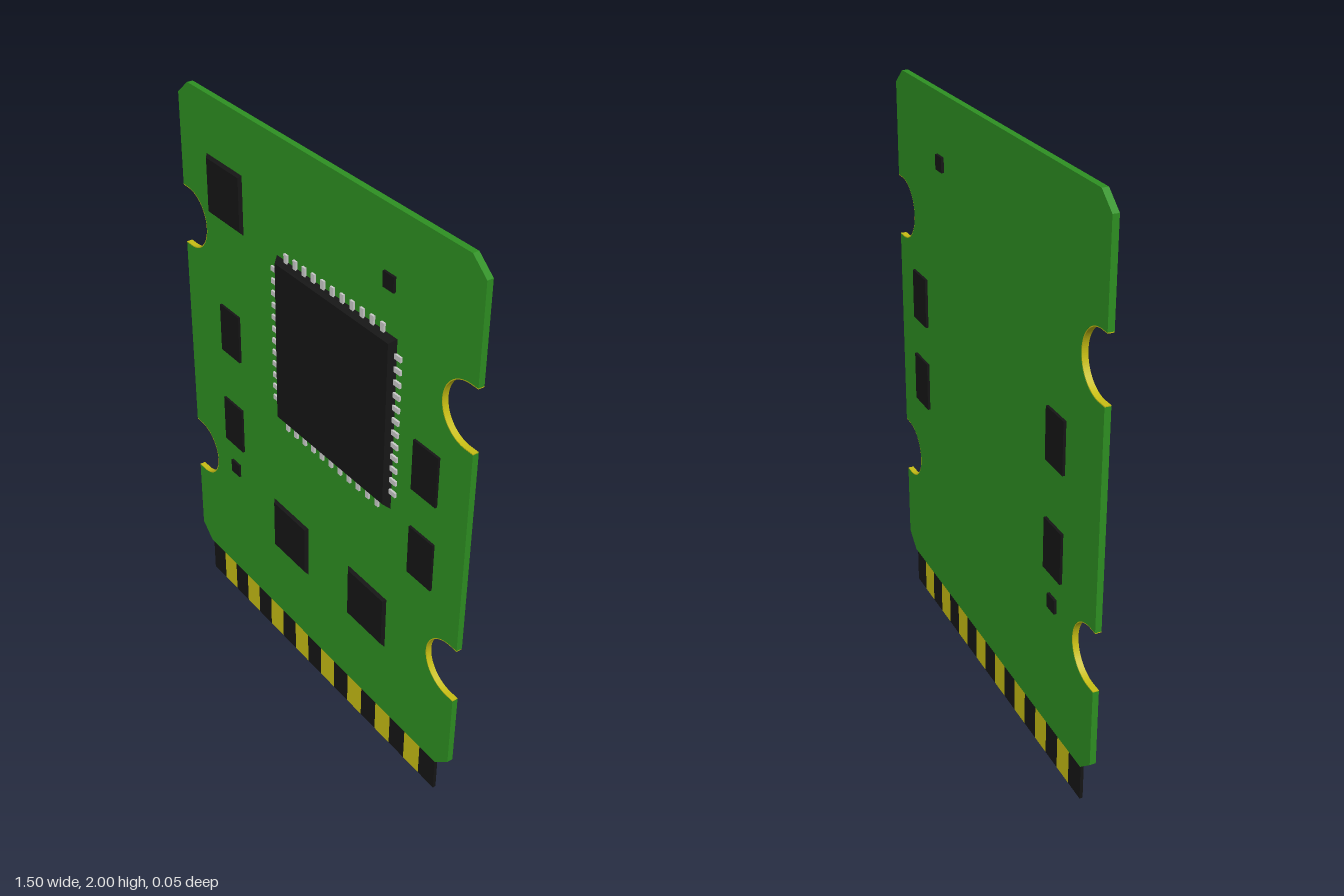
import * as THREE from 'three';

const mat = (color) => new THREE.MeshStandardMaterial({ color, flatShading: true });
const BACK = -0.016, FRONT = 0.005; // faces of the board
const NOTCH_R = 0.108, NOTCH_X = 0.718, NOTCH_Y = [0.575, 1.522];

export function createModel() {
  const model = new THREE.Group();
  const green = mat(0x2e9122), black = mat(0x161616), gold = mat(0xc8be14), pinGrey = mat(0xcccccc);

  const add = (name, geometry, material, parent = model) => {
    const mesh = new THREE.Mesh(geometry, material);
    mesh.name = name;
    parent.add(mesh);
    return mesh;
  };
  const box = (name, x, y, w, h, z0, z1, material, parent) => {
    const mesh = add(name, new THREE.BoxGeometry(w, h, z1 - z0), material, parent);
    mesh.position.set(x, y, (z0 + z1) / 2);
    return mesh;
  };
  // Chip whose front face is inset by a small taper
  const chip = (name, x, y, w, h, z1, inset) => {
    const mesh = box(name, x, y, w, h, FRONT - 0.002, z1, black);
    const p = mesh.geometry.attributes.position;
    for (let i = 0; i < p.count; i++) {
      if (p.getZ(i) < 0) continue;
      p.setX(i, p.getX(i) - Math.sign(p.getX(i)) * inset);
      p.setY(i, p.getY(i) - Math.sign(p.getY(i)) * inset);
    }
    mesh.geometry.computeVertexNormals();
    return mesh;
  };
  const extrude = (shape) => new THREE.ExtrudeGeometry(shape, {
    depth: FRONT - BACK, bevelEnabled: false, curveSegments: 24,
  }).translate(0, 0, BACK);

  // Board outline: clipped corners and two round notches on each side
  const outline = new THREE.Shape();
  outline.moveTo(-0.69, 0.135);
  outline.lineTo(0.69, 0.135);
  outline.lineTo(0.75, 0.19);
  for (const y of NOTCH_Y) {
    outline.lineTo(0.75, y - NOTCH_R);
    outline.lineTo(NOTCH_X, y - NOTCH_R);
    outline.absarc(NOTCH_X, y, NOTCH_R, -Math.PI / 2, Math.PI / 2, true);
    outline.lineTo(0.75, y + NOTCH_R);
  }
  outline.lineTo(0.75, 1.95);
  outline.lineTo(0.69, 2);
  outline.lineTo(-0.69, 2);
  outline.lineTo(-0.75, 1.95);
  for (const y of [...NOTCH_Y].reverse()) {
    outline.lineTo(-0.75, y + NOTCH_R);
    outline.lineTo(-NOTCH_X, y + NOTCH_R);
    outline.absarc(-NOTCH_X, y, NOTCH_R, Math.PI / 2, -Math.PI / 2, true);
    outline.lineTo(-0.75, y - NOTCH_R);
  }
  outline.lineTo(-0.75, 0.19);
  outline.closePath();
  add('board', extrude(outline), green);

  // Thin gold lining inside every notch
  const liningShape = new THREE.Shape();
  const inner = NOTCH_R - 0.003;
  liningShape.moveTo(0.032, NOTCH_R);
  liningShape.lineTo(0, NOTCH_R);
  liningShape.absarc(0, 0, NOTCH_R, Math.PI / 2, Math.PI * 1.5, false);
  liningShape.lineTo(0.032, -NOTCH_R);
  liningShape.lineTo(0.032, -inner);
  liningShape.lineTo(0, -inner);
  liningShape.absarc(0, 0, inner, Math.PI * 1.5, Math.PI / 2, true);
  liningShape.lineTo(0.032, inner);
  liningShape.closePath();
  const liningGeometry = extrude(liningShape).scale(1, 1, 0.96);
  for (const side of [-1, 1]) {
    for (const y of NOTCH_Y) {
      // Turned half round about z for the right-hand edge
      const lining = add('notchLining', liningGeometry, gold);
      lining.position.set(side * NOTCH_X, y, 0);
      if (side < 0) lining.rotation.z = Math.PI;
    }
  }

  // Edge connector: alternating black and gold contacts
  const connector = new THREE.Group();
  connector.name = 'edgeConnector';
  model.add(connector);
  const count = 17, step = 1.37 / count;
  for (let i = 0; i < count; i++) {
    const isGold = i % 2 === 1;
    box(isGold ? 'goldContact' : 'contactSpacer', -0.685 + (i + 0.5) * step, 0.0685, step, 0.137,
      -0.011, 0, isGold ? gold : black, connector);
  }

  // Main processor and its rows of pins
  const cx = 0.107, cy = 1.307;
  chip('processor', cx, cy, 0.605, 0.605, 0.025, 0.018);
  const pins = new THREE.Group();
  pins.name = 'processorPins';
  model.add(pins);
  for (const side of [-1, 1]) {
    for (let i = 0; i < 12; i++) {
      box('sidePin', cx + side * 0.312, 1.075 + i * 0.0435, 0.03, 0.017, FRONT - 0.001, 0.012, pinGrey, pins);
    }
    for (let i = 0; i < 11; i++) {
      box('endPin', -0.14 + i * 0.0485, cy + side * 0.312, 0.017, 0.03, FRONT - 0.001, 0.012, pinGrey, pins);
    }
  }

  // Square chips on the front only
  for (const [x, y] of [[-0.487, 1.695], [-0.133, 0.53], [0.303, 0.53]]) {
    chip('memoryChip', x, y, 0.21, 0.21, 0.014, 0.012);
  }

  // Components that pass through and show on both faces
  for (const [x, y] of [[-0.48, 1.185], [-0.48, 0.81], [0.563, 1.238], [0.563, 0.92]]) {
    box('throughComponent', x, y, 0.113, 0.177, -0.025, 0.013, black);
  }
  for (const [x, y] of [[0.367, 1.773], [-0.48, 0.618]]) {
    box('smallComponent', x, y, 0.05, 0.05, -0.025, 0.013, black);
  }
  return model;
}
